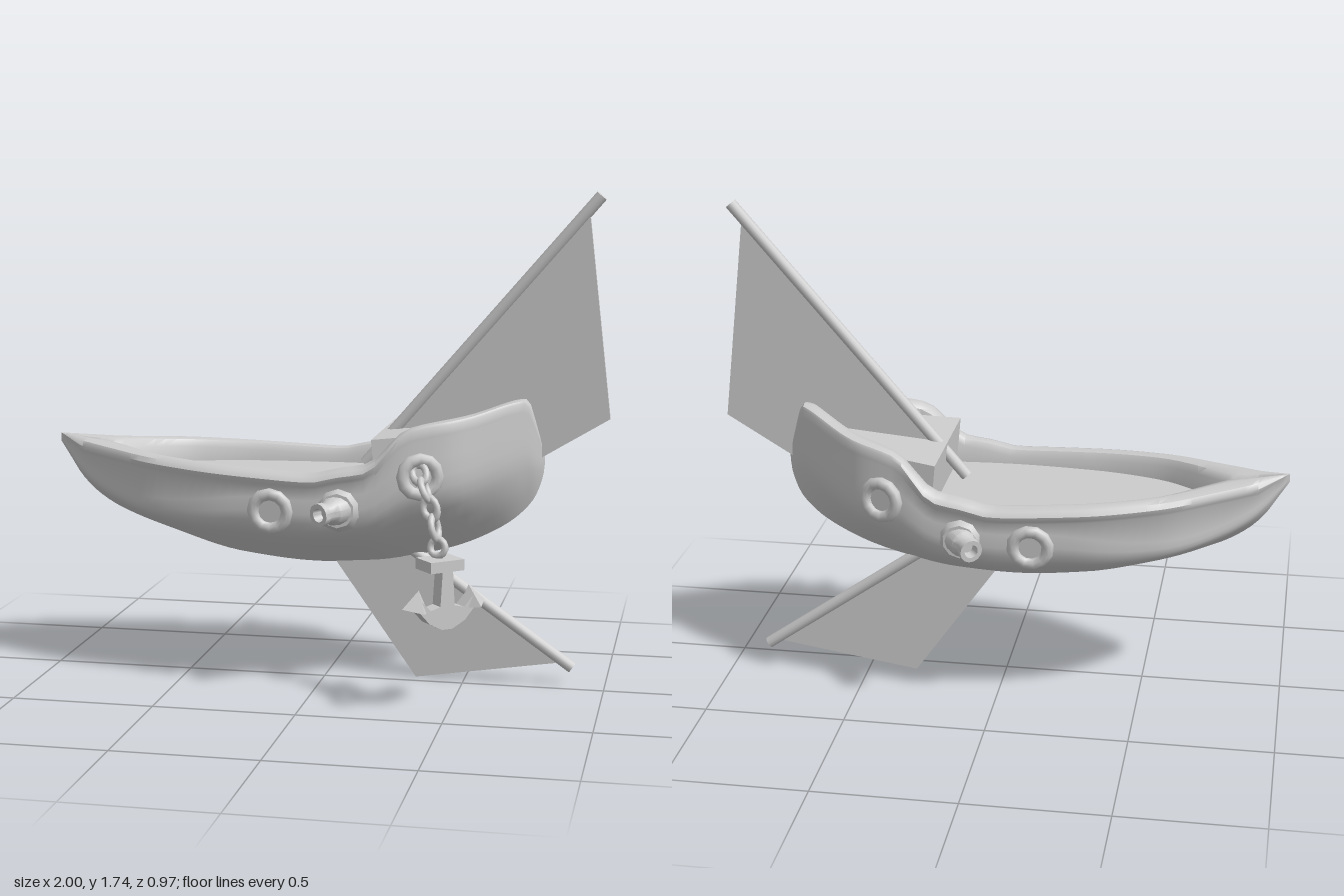
import * as THREE from 'three';
import { toCreasedNormals } from 'three/addons/utils/BufferGeometryUtils.js';

const material = new THREE.MeshStandardMaterial({ color: 0xcccccc });
const V = (x, y, z = 0) => new THREE.Vector3(x, y, z);
const smooth = THREE.MathUtils.smoothstep;

function add(parent, name, geometry, x = 0, y = 0, z = 0) {
  const mesh = new THREE.Mesh(geometry, material);
  mesh.name = name;
  mesh.position.set(x, y, z);
  parent.add(mesh);
  return mesh;
}

// Monotone smooth interpolation through [x, value] pairs
function curve(p) {
  const slope = (i) => (p[i + 1][1] - p[i][1]) / (p[i + 1][0] - p[i][0]);
  const tangent = (i) => {
    if (i === 0) return slope(0);
    if (i === p.length - 1) return slope(i - 1);
    const a = slope(i - 1), b = slope(i);
    return a * b <= 0 ? 0 : (2 * a * b) / (a + b);
  };
  return (x) => {
    let i = 0;
    while (i < p.length - 2 && x > p[i + 1][0]) i++;
    const d = p[i + 1][0] - p[i][0];
    const t = THREE.MathUtils.clamp((x - p[i][0]) / d, 0, 1), t2 = t * t, t3 = t2 * t;
    return (2 * t3 - 3 * t2 + 1) * p[i][1] + (t3 - 2 * t2 + t) * d * tangent(i)
      + (3 * t2 - 2 * t3) * p[i + 1][1] + (t3 - t2) * d * tangent(i + 1);
  };
}

// Hull lines: keel height, rim height, half width
const keel = curve([[-1, 0.82], [-0.965, 0.765], [-0.92, 0.695], [-0.86, 0.635], [-0.77, 0.58], [-0.58, 0.51],
  [-0.31, 0.435], [-0.035, 0.411], [0.17, 0.421], [0.44, 0.48], [0.62, 0.56], [0.73, 0.655], [0.77, 0.75], [0.776, 0.8]]);
const rim = curve([[-1, 0.85], [-0.58, 0.817], [-0.2, 0.794], [0, 0.786], [0.09, 0.805], [0.2, 0.825], [0.27, 0.89],
  [0.33, 0.945], [0.54, 0.987], [0.71, 1.027], [0.75, 0.92], [0.776, 0.82]]);
const width = curve([[-1, 0], [-0.78, 0.13], [-0.56, 0.245], [-0.29, 0.308], [0, 0.326], [0.24, 0.315],
  [0.45, 0.265], [0.6, 0.158], [0.7, 0.072], [0.776, 0]]);
const innerWidth = (x) =>
  Math.max(0, width(x) - 0.07 - 0.045 * smooth(-x, 0.5, 0.8) - 0.022 * smooth(x, 0.3, 0.55));
const deckY = 0.73;

// Half a cross-section, from the inner wall over the rim and down to the keel
function halfSection(x) {
  const k = keel(x), r = rim(x), w = width(x), inner = innerWidth(x), h = r - k;
  const s = Math.min(1, h / 0.12, w / 0.06);
  const aft = smooth(x, 0.2, 0.34);
  const lip = 0.01 * s * (1 - aft);
  const roll = s * (1 - 0.5 * aft);
  const top = w * (1 - 0.015 * aft);
  const bilge = h * (1 - 0.4 * smooth(-x, 0.15, 0.75));
  return [
    [inner, Math.max(k, deckY - 0.03)], [inner, r - 0.03 * roll], [inner + (top - inner) * 0.2, r - 0.006 * roll],
    [inner + (top - inner) * 0.55, r], [top - 0.006 * s + lip / 2, r - 0.01 * roll], [top + lip, r - 0.028 * roll],
    [top + lip * 0.5, r - 0.045 * s], [top - lip * 0.3, r - 0.056 * s],
    [w * 0.998, k + bilge * 0.75], [w, k + bilge * 0.62], [w * 0.985, k + bilge * 0.53], [w * 0.93, k + bilge * 0.445],
    [w * 0.82, k + bilge * 0.365], [w * 0.6, k + bilge * 0.25], [w * 0.3, k + bilge * 0.12], [0, k],
  ];
}

function hullGeometry() {
  const positions = [], index = [], stations = 64;
  let n = 0;
  for (let i = 0; i <= stations; i++) {
    const x = -0.112 - 0.888 * Math.cos((Math.PI * i) / stations);
    const half = halfSection(x);
    const ring = [...half, ...half.slice(0, -1).reverse().map(([z, y]) => [-z, y])];
    n = ring.length;
    ring.forEach(([z, y]) => positions.push(x, y, z));
  }
  for (let i = 0; i < stations; i++)
    for (let j = 0; j < n - 1; j++) {
      const a = i * n + j, b = a + n;
      index.push(a, a + 1, b, b, a + 1, b + 1);
    }
  const g = new THREE.BufferGeometry();
  g.setAttribute('position', new THREE.Float32BufferAttribute(positions, 3));
  g.setIndex(index);
  return toCreasedNormals(g, 0.75);
}

// Flat plate drawn in x and y, centred on z = 0
function plate(points, depth) {
  const shape = new THREE.Shape(points.map(([x, y]) => new THREE.Vector2(x, y)));
  return new THREE.ExtrudeGeometry(shape, { depth, bevelEnabled: false }).translate(0, 0, -depth / 2);
}

// Horizontal plate with the same outline on both sides
function deckPlate(side, depth) {
  return plate([...side, ...side.slice().reverse().map(([x, z]) => [x, -z])], depth).rotateX(-Math.PI / 2);
}

function spar(parent, name, a, b, radius) {
  const d = b.clone().sub(a);
  const mesh = add(parent, name, new THREE.CylinderGeometry(radius, radius, d.length(), 12));
  mesh.position.copy(a).add(b).multiplyScalar(0.5);
  mesh.quaternion.setFromUnitVectors(V(0, 1), d.normalize());
}

// Group at a point of the hull side with its own +z along a direction
function mount(parent, name, position, direction) {
  const g = new THREE.Group();
  g.name = name;
  g.position.copy(position);
  g.quaternion.setFromUnitVectors(V(0, 0, 1), direction.normalize());
  parent.add(g);
  return g;
}

function porthole(parent, position, direction) {
  const g = mount(parent, 'porthole', position, direction);
  add(g, 'portholeRing', new THREE.TorusGeometry(0.061, 0.022, 10, 12).scale(1, 1, 0.9));
  add(g, 'portholePane', new THREE.CylinderGeometry(0.055, 0.055, 0.03, 16).rotateX(Math.PI / 2), 0, 0, -0.012);
}

function cannon(parent, position, side) {
  const base = mount(parent, 'cannonMount', position, V(0, 0, side));
  add(base, 'cannonFlange', new THREE.CylinderGeometry(0.06, 0.082, 0.04, 10).rotateX(Math.PI / 2));
  const barrel = mount(parent, 'cannon', position, V(-0.055, -0.006, 0.085 * side));
  const profile = [[0.055, -0.02], [0.048, 0.035], [0.038, 0.05], [0.035, 0.07], [0.041, 0.075], [0.04, 0.096],
    [0.024, 0.096], [0.02, 0.06], [0, 0.06]].map(([r, y]) => new THREE.Vector2(r, y));
  add(barrel, 'cannonBarrel', toCreasedNormals(new THREE.LatheGeometry(profile, 14).rotateX(Math.PI / 2), 0.6));
}

function anchor(parent) {
  const g = new THREE.Group();
  g.name = 'anchor';
  g.position.set(0.483, 0, 0.422);
  g.rotation.y = 0.7;
  parent.add(g);
  const half = [[0.018, 0.53], [0.028, 0.375], [0.065, 0.365], [0.1, 0.4], [0.12, 0.375], [0.07, 0.32], [0.02, 0.295]];
  add(g, 'anchorBody', plate([...half, ...half.slice().reverse().map(([x, y]) => [-x, y])], 0.05));
  add(g, 'anchorStock', new THREE.BoxGeometry(0.13, 0.038, 0.1), -0.005, 0.512, -0.018);
  for (const s of [-1, 1]) {
    const geometry = toCreasedNormals(new THREE.ConeGeometry(0.052, 0.07, 4).scale(1, 1, 1.15), 0.1);
    const fluke = add(g, 'anchorFluke', geometry, s * 0.105, 0.4, 0);
    fluke.rotation.z = s * 0.2;
  }
}

function chain(parent) {
  const path = new THREE.CatmullRomCurve3([V(0.38, 0.8, 0.315), V(0.41, 0.74, 0.36), V(0.44, 0.65, 0.38), V(0.458, 0.565, 0.4)]);
  const links = 5;
  for (let i = 0; i < links; i++) {
    const t = i / (links - 1), last = i === links - 1;
    const g = mount(parent, 'chainLink', path.getPointAt(t), path.getTangentAt(t));
    const link = add(g, last ? 'anchorRing' : 'link', new THREE.TorusGeometry(last ? 0.028 : 0.025, 0.012, 8, 14));
    link.geometry.scale(1, last ? 1 : 1.4, 1).rotateX(Math.PI / 2);
    link.rotation.z = 0.5 + (i % 2) * (Math.PI / 2);
  }
}

export function createModel() {
  const ship = new THREE.Group();
  ship.name = 'ship';
  ship.position.z = -0.06;

  add(ship, 'hull', hullGeometry());

  // Main deck follows the inner wall
  const side = [];
  for (let x = -0.84; x < 0.66; x += 0.05) side.push([x, innerWidth(x) + 0.003]);
  add(ship, 'deck', deckPlate(side, 0.02), 0, deckY - 0.01, 0);

  // Raised deck at the stern
  const aft = [[0, 0.25], [0.14, 0.225], [0.26, 0.15], [0.36, 0.07], [0.42, 0.03]];
  const raised = add(ship, 'raisedDeck', deckPlate(aft, 0.2), 0.21, 0.8, 0);
  raised.rotation.z = 0.09;

  // Raking mast with sail, and the lower spar with fin
  spar(ship, 'mast', V(0.135, 0.775), V(0.955, 1.73), 0.021);
  add(ship, 'sail', plate([[0.24, 0.9], [0.917, 1.665], [1, 0.96], [0.62, 0.73]], 0.02));
  spar(ship, 'lowerSpar', V(0.22, 0.53), V(0.884, 0.064), 0.021);
  add(ship, 'fin', plate([[0.03, 0.42], [0.325, 0.002], [0.825, 0.08], [0.83, 0.1], [0.25, 0.51], [0.03, 0.46]], 0.02));

  // Fittings on both sides
  for (const s of [-1, 1]) {
    porthole(ship, V(-0.14, 0.65, s * 0.32), V(-0.03, -0.08, s));
    porthole(ship, V(0.38, 0.785, s * 0.3), V(0.33, 0, s * 0.94));
    cannon(ship, V(0.1, 0.665, s * 0.325), s);
  }
  chain(ship);
  anchor(ship);

  const model = new THREE.Group();
  model.name = 'model';
  model.add(ship);
  return model;
}
